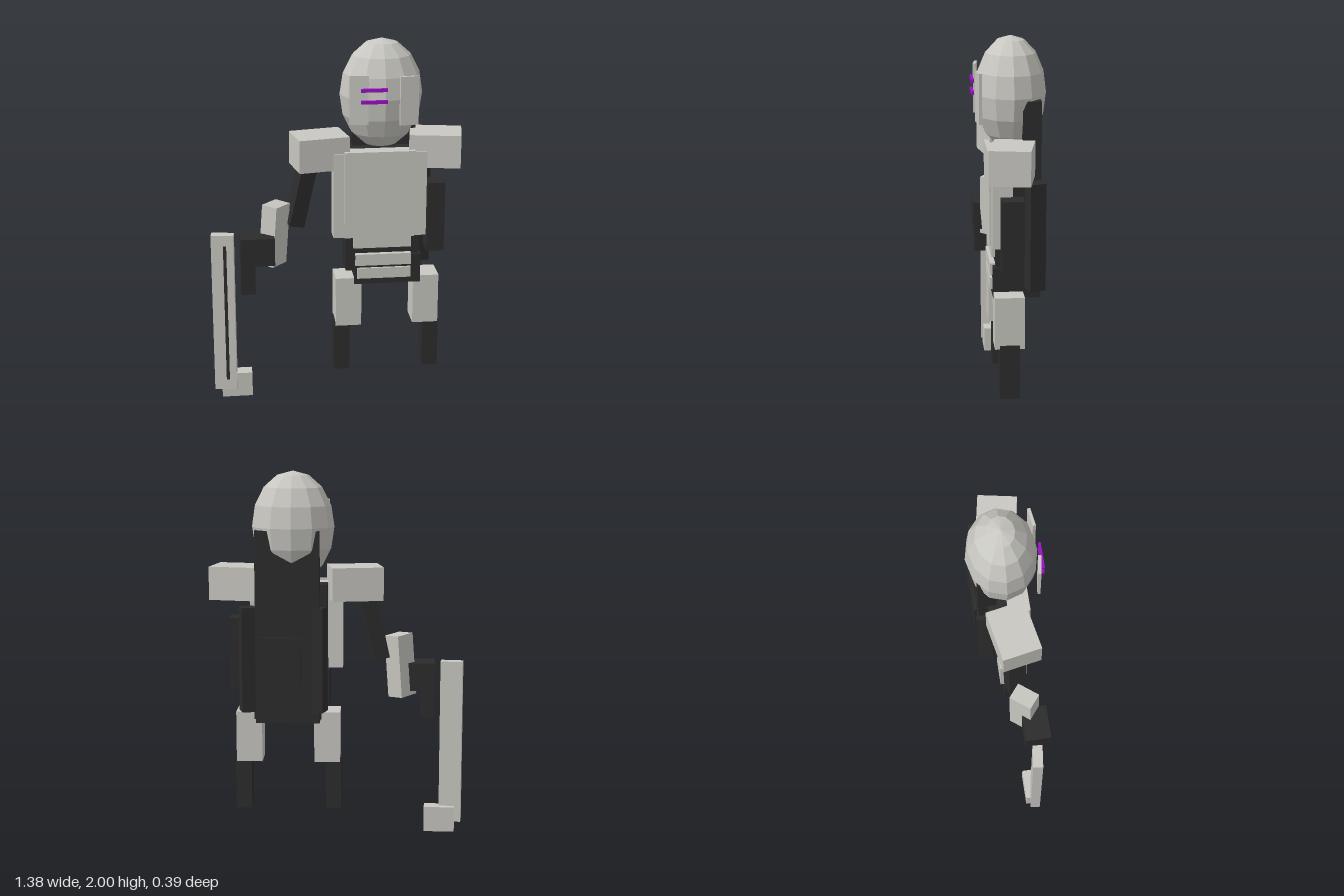
import * as THREE from 'three';

export function createModel() {
  const model = new THREE.Group();
  model.name = 'robot';
  const mat = (name, color) => {
    const m = new THREE.MeshStandardMaterial({ color, flatShading: true });
    m.name = name;
    return m;
  };
  const grey = mat('light grey armour', 0xc8c7c1);
  const dark = mat('charcoal frame', 0x2c2c2c);
  const purple = mat('purple visor', 0x9a10c4);

  // box from centre and size, with yaw about y and a later lean about z
  const box = (name, m, [x, y, z], size, yaw = 0, lean = 0) => {
    const mesh = new THREE.Mesh(new THREE.BoxGeometry(...size), m);
    mesh.name = name;
    mesh.position.set(x, y, z);
    mesh.rotation.set(0, yaw, lean, 'ZYX');
    model.add(mesh);
    return mesh;
  };
  // box from its extents along x, y and z
  const span = (name, m, [x0, x1], [y0, y1], [z0, z1]) =>
    box(name, m, [(x0 + x1) / 2, (y0 + y1) / 2, (z0 + z1) / 2], [x1 - x0, y1 - y0, z1 - z0]);

  // head: faceted egg
  const head = new THREE.Mesh(new THREE.SphereGeometry(1, 12, 8), grey);
  head.name = 'head';
  head.scale.set(0.222, 0.297, 0.185);
  head.position.set(0.237, 1.703, -0.008);
  model.add(head);

  // face plates and visor bars
  box('rightFacePlate', grey, [0.097, 1.71, 0.165], [0.1, 0.26, 0.016], -0.14);
  box('leftFacePlate', grey, [0.362, 1.7, 0.165], [0.1, 0.26, 0.016], 0.14);
  for (const y of [1.702, 1.765]) box('visorBar', purple, [0.175, y, 0.187], [0.14, 0.018, 0.014]);

  // parts mirrored about the body's centre line
  for (const s of [-1, 1]) {
    const side = s < 0 ? 'right' : 'left';
    box(side + 'ShoulderPad', grey, [0.219 + s * 0.315, 1.4, 0.008], [0.277, 0.18, 0.21], -s * 0.187);
    box(side + 'Thigh', grey, [0.268 + s * 0.214, 0.55, 0.022], [0.142, 0.28, 0.155]);
    box(side + 'Shin', dark, [0.268 + s * 0.249, 0.283, 0.022], [0.088, 0.295, 0.105]);
    box(side + 'BackRail', dark, [0.289 + s * 0.19, 0.995, -0.115], [0.08, 0.57, 0.085], s * 0.3);
  }

  // chest
  span('chest', grey, [-0.03, 0.475], [0.93, 1.4], [0, 0.105]);
  span('chestPlate', grey, [0.03, 0.41], [0.93, 1.41], [0.09, 0.116]);
  span('torsoCore', dark, [0.05, 0.44], [0.9, 1.4], [-0.1, 0.001]);

  // waist, hips and belly bands
  span('waist', dark, [0.04, 0.44], [0.73, 0.93], [-0.07, 0.085]);
  span('hips', dark, [0.085, 0.45], [0.655, 0.82], [-0.075, 0.1]);
  span('bellyBand', grey, [0.08, 0.395], [0.865, 0.935], [0, 0.105]);
  span('bellyBand', grey, [0.09, 0.395], [0.765, 0.83], [0.05, 0.112]);
  span('bellyBand', grey, [0.1, 0.395], [0.69, 0.75], [0.05, 0.112]);

  // back frame reaching up behind the head
  span('backFrame', dark, [0.09, 0.435], [0.65, 1.69], [-0.15, -0.055]);
  span('backPanel', dark, [0.19, 0.41], [0.71, 1.12], [-0.165, -0.14]);

  // left arm hangs straight down
  span('leftArm', dark, [0.49, 0.585], [0.82, 1.21], [-0.05, 0.065]);

  // right arm
  box('rightUpperArm', dark, [-0.198, 1.15, 0], [0.085, 0.34, 0.1], 0.25, -0.22);
  box('rightForearm', grey, [-0.345, 0.943, 0.03], [0.094, 0.34, 0.129], -0.67, -0.07);
  span('rightHand', dark, [-0.535, -0.35], [0.8, 0.955], [0.01, 0.148]);
  span('grip', dark, [-0.535, -0.457], [0.635, 0.81], [0.066, 0.138]);

  // long blade with a dark slot and a foot block
  box('blade', grey, [-0.628, 0.505, 0.06], [0.122, 0.91, 0.054], -0.12);
  box('bladeSlot', dark, [-0.618, 0.505, 0.09], [0.017, 0.79, 0.009], -0.12);
  span('bladeFoot', grey, [-0.65, -0.483], [0, 0.14], [0.005, 0.08]);

  return model;
}
